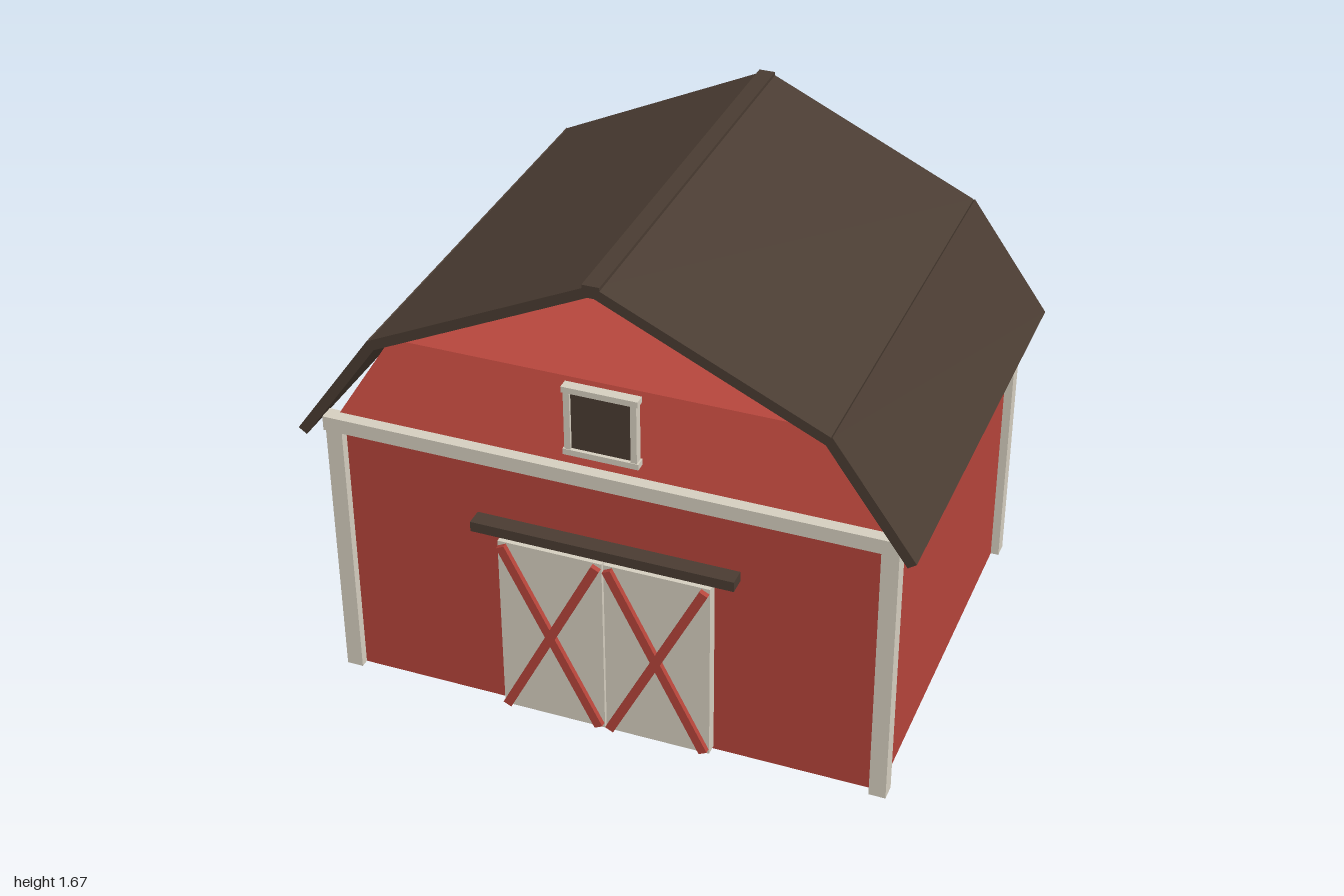
import * as THREE from 'three';

const mat = (color) => new THREE.MeshStandardMaterial({ color, flatShading: true });

export function createModel() {
  const barn = new THREE.Group();
  barn.name = 'barn';
  const red = mat(0xb5443a), cream = mat(0xd6cfc0), brown = mat(0x4a3c32);

  const add = (name, geometry, material, x, y, z, parent = barn) => {
    const mesh = new THREE.Mesh(geometry, material);
    mesh.name = name;
    mesh.position.set(x, y, z);
    parent.add(mesh);
    return mesh;
  };
  const box = (name, material, w, h, d, x, y, z, parent) =>
    add(name, new THREE.BoxGeometry(w, h, d), material, x, y, z, parent);

  // Four-sided tapering block: half sizes at the base, top as a fraction of it
  const taper = (name, halfX, halfZ, y0, y1, top) => {
    const g = new THREE.CylinderGeometry(Math.SQRT2 * top, Math.SQRT2, y1 - y0, 4);
    g.rotateY(Math.PI / 4).scale(halfX, 1, halfZ);
    return add(name, g, red, 0, (y0 + y1) / 2, 0);
  };

  // Body, loft and gable peak
  box('walls', red, 1.81, 0.96, 1.35, 0, 0.48, 0);
  taper('loft', 0.915, 0.69, 0.95, 1.31, 0.77);
  taper('gablePeak', 0.695, 0.695, 1.31, 1.62, 0);

  // Corner posts and the trim boards across both ends
  for (const sz of [1, -1]) {
    for (const sx of [1, -1])
      box('cornerPost', cream, 0.055, 0.95, 0.055, sx * 0.905, 0.475, sz * 0.677);
    box('gableTrim', cream, 1.87, 0.05, 0.05, 0, 0.96, sz * 0.69);
  }

  // Gambrel roof: a board between two points of the section, on each side
  const depth = 1.51;
  const roofBoard = (name, x0, y0, x1, y1) => {
    const length = Math.hypot(x1 - x0, y1 - y0);
    for (const s of [1, -1]) {
      const b = box(name, brown, length, 0.033, depth, s * (x0 + x1) / 2, (y0 + y1) / 2, 0);
      b.rotation.z = s * Math.atan2(y1 - y0, x1 - x0);
    }
  };
  roofBoard('upperRoof', 0, 1.653, 0.72, 1.314);
  roofBoard('lowerRoof', 0.718, 1.32, 0.985, 0.945);
  box('ridgeCap', brown, 0.055, 0.04, depth, 0, 1.65, 0);

  // Sliding doors with crossed braces
  for (const s of [1, -1]) {
    const door = new THREE.Group();
    door.name = s > 0 ? 'leftDoor' : 'rightDoor';
    door.position.set(s * 0.178, 0.335, 0);
    barn.add(door);
    box('doorPanel', cream, 0.35, 0.65, 0.04, 0, 0, 0.695, door);
    for (const t of [1, -1]) {
      const brace = box('doorBrace', red, 0.03, 0.705, 0.018, 0, 0, 0.724, door);
      brace.rotation.z = t * Math.atan2(0.31, 0.61);
    }
  }
  box('doorRail', brown, 0.87, 0.035, 0.06, 0, 0.705, 0.703);

  // Loft window
  box('windowPane', brown, 0.2, 0.2, 0.02, 0, 1.16, 0.69);
  for (const s of [1, -1]) {
    box('windowSideFrame', cream, 0.02, 0.22, 0.03, s * 0.107, 1.16, 0.695);
    box('windowCrossFrame', cream, 0.245, 0.02, 0.035, 0, 1.16 + s * 0.11, 0.695);
  }
  return barn;
}
